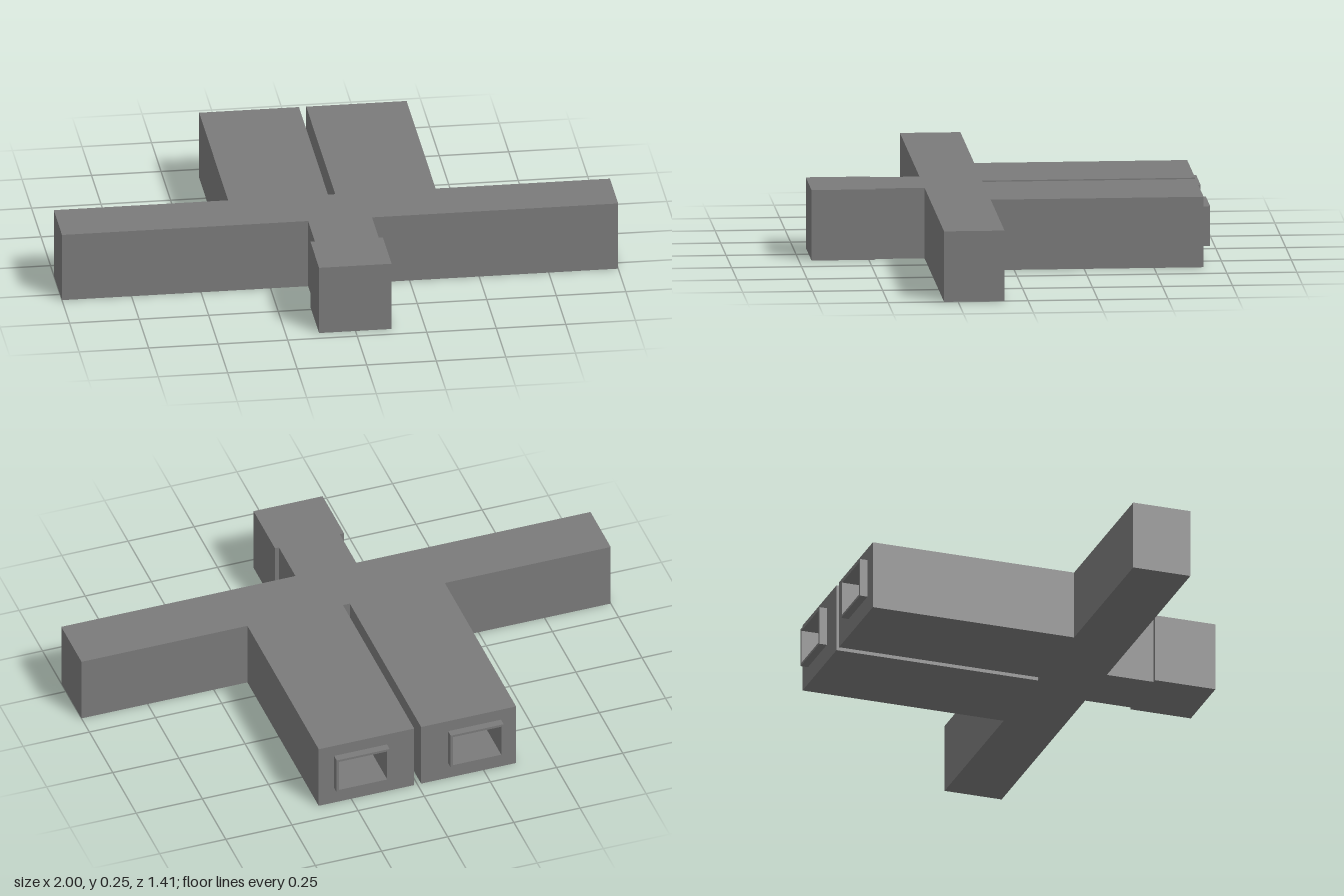
import * as THREE from 'three';

const H = 0.255;
const material = new THREE.MeshStandardMaterial({ color: 0x7a7a7a });

const rectPoints = (x0, x1, y0, y1) => [
  new THREE.Vector2(x0, y0), new THREE.Vector2(x1, y0),
  new THREE.Vector2(x1, y1), new THREE.Vector2(x0, y1),
];

// Rectangular tube running along z, from z0 to z1
function tube(name, outer, inner, z0, z1) {
  const shape = new THREE.Shape(rectPoints(...outer));
  shape.holes.push(new THREE.Path(rectPoints(...inner)));
  const geometry = new THREE.ExtrudeGeometry(shape, { depth: z1 - z0, bevelEnabled: false });
  geometry.translate(0, 0, z0);
  const mesh = new THREE.Mesh(geometry, material);
  mesh.name = name;
  return mesh;
}

export function createModel() {
  const model = new THREE.Group();
  model.name = 'crossBlock';

  const back = -0.677, pocketEnd = -0.38, rimBack = -0.705;
  const barBack = 0.084, barFront = 0.3, neckFront = 0.476, front = 0.705;

  // Solid body: cross bar, neck, head and the solid part of both legs (x, z)
  const outline = [
    [-0.131, front], [0.13, front], [0.13, neckFront], [0.115, neckFront],
    [0.115, barFront], [1, barFront], [1, barBack], [0.373, barBack],
    [0.373, pocketEnd], [0.012, pocketEnd], [0.012, barBack],
    [-0.014, barBack], [-0.014, pocketEnd], [-0.373, pocketEnd],
    [-0.373, barBack], [-1, barBack], [-1, barFront], [-0.115, barFront],
    [-0.115, neckFront], [-0.131, neckFront],
  ];
  const plan = new THREE.Shape(outline.map(([x, z]) => new THREE.Vector2(x, -z)));
  const bodyGeometry = new THREE.ExtrudeGeometry(plan, { depth: H, bevelEnabled: false });
  bodyGeometry.rotateX(-Math.PI / 2);
  const body = new THREE.Mesh(bodyGeometry, material);
  body.name = 'body';
  model.add(body);

  // Hollow leg ends, each with a thin raised rim around its opening
  const legs = [
    { side: 'left', x0: 0.012, x1: 0.373, mid: 0.215 },
    { side: 'right', x0: -0.373, x1: -0.014, mid: -0.216 },
  ];
  for (const { side, x0, x1, mid } of legs) {
    const opening = [mid - 0.091, mid + 0.091, 0.075, 0.201];
    const rim = [mid - 0.1, mid + 0.1, 0.066, 0.21];
    model.add(tube(side + 'LegEnd', [x0, x1, 0, H], opening, back, pocketEnd));
    model.add(tube(side + 'SocketRim', rim, opening, rimBack, back));
  }

  return model;
}
